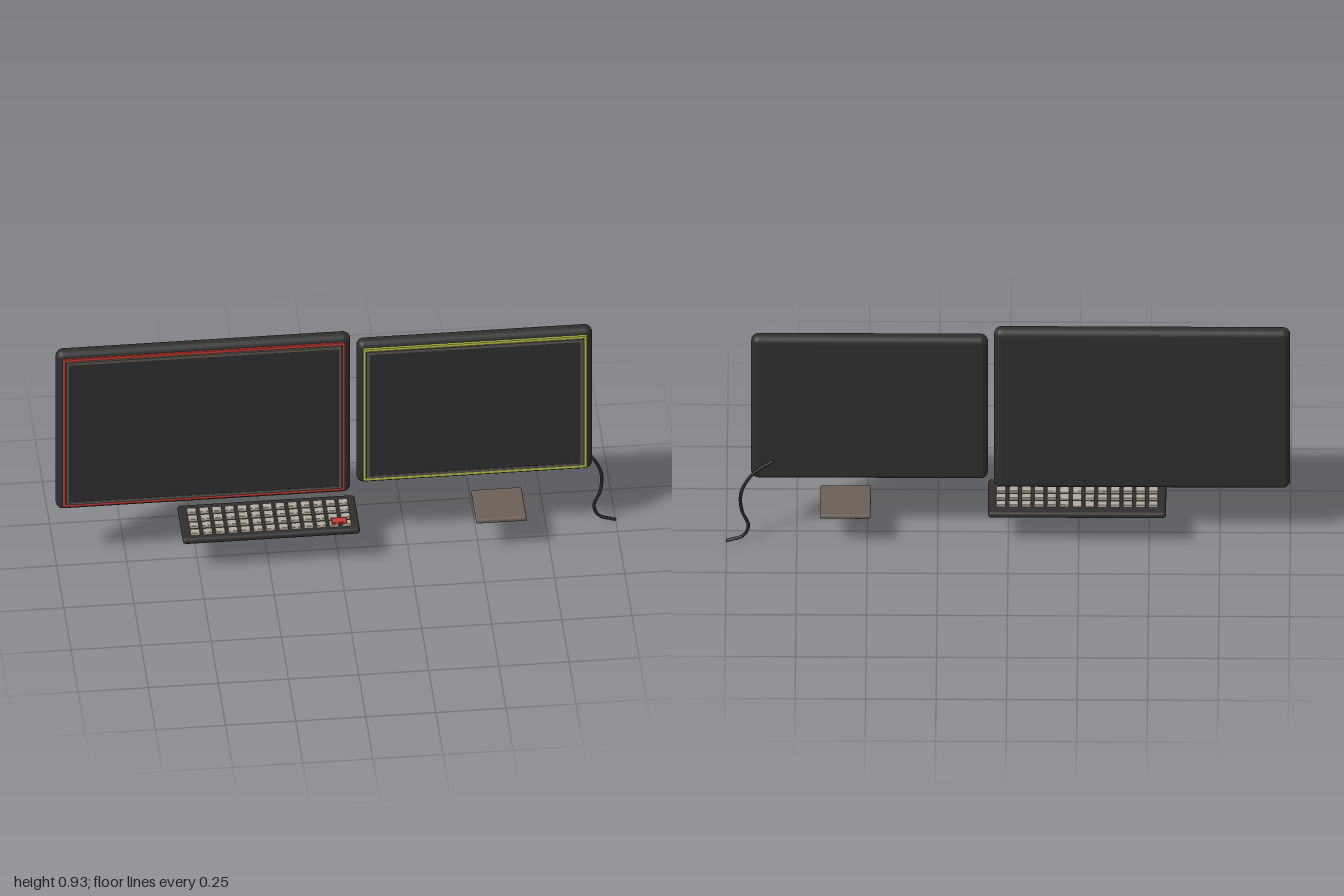
import * as THREE from 'three';
import { RoundedBoxGeometry } from 'three/addons/geometries/RoundedBoxGeometry.js';

const material = (name, color) => {
  const m = new THREE.MeshStandardMaterial({ color });
  m.name = name;
  return m;
};

export function createModel() {
  const mats = {
    casing: material('charcoal casing', 0x2e2e2e),
    screen: material('dark screen', 0x2d2d2d),
    bezel: material('grey bezel', 0x57524d),
    red: material('red trim', 0xc23a30),
    green: material('lime trim', 0xb4bf45),
    board: material('keyboard casing', 0x2f2d2e),
    keys: material('key cream', 0xb0aa9b),
    pad: material('trackpad brown', 0x6b5e55),
    cable: material('cable black', 0x262728),
  };

  const model = new THREE.Group();
  model.name = 'deskSetup';

  const add = (parent, name, geometry, mat, x = 0, y = 0, z = 0) => {
    const mesh = new THREE.Mesh(geometry, mat);
    mesh.name = name;
    mesh.position.set(x, y, z);
    parent.add(mesh);
    return mesh;
  };

  // Flat rectangular ring, extruded from z = 0 forwards
  const ring = (w, h, t, depth) => {
    const rect = (S, a, b) => new S([
      new THREE.Vector2(-a, -b), new THREE.Vector2(a, -b),
      new THREE.Vector2(a, b), new THREE.Vector2(-a, b),
    ]);
    const shape = rect(THREE.Shape, w / 2, h / 2);
    shape.holes.push(rect(THREE.Path, w / 2 - t, h / 2 - t));
    return new THREE.ExtrudeGeometry(shape, { depth, bevelEnabled: false });
  };

  // Monitor: rounded casing, coloured trim, grey bezel and screen
  const addMonitor = (name, x0, x1, y0, y1, trim, trimFront) => {
    const w = x1 - x0, h = y1 - y0;
    const g = new THREE.Group();
    g.name = name;
    g.position.set((x0 + x1) / 2, (y0 + y1) / 2, 0);
    add(g, 'casing', new RoundedBoxGeometry(w, h, 0.055, 6, 0.027), mats.casing, 0, 0, -0.0365);
    add(g, 'trim', ring(w - 0.042, h - 0.042, 0.01, trimFront + 0.015), trim, 0, 0, -0.015);
    add(g, 'bezel', ring(w - 0.066, h - 0.066, 0.011, 0.012), mats.bezel, 0, 0, -0.0105);
    add(g, 'screen', new THREE.BoxGeometry(w - 0.088, h - 0.088, 0.009), mats.screen, 0, 0, -0.0045);
    model.add(g);
  };
  addMonitor('largeMonitor', -1, 0.05, 0.235, 0.93, mats.red, -0.003);
  addMonitor('smallMonitor', 0.072, 0.912, 0.272, 0.896, mats.green, -0.001);

  // Keyboard with four rows of keys and one raised red key
  const keyboard = new THREE.Group();
  keyboard.name = 'keyboard';
  model.add(keyboard);
  add(keyboard, 'keyboardBase', new RoundedBoxGeometry(0.632, 0.025, 0.21, 4, 0.012),
    mats.board, -0.244, 0.149, 0);
  const keyGeometry = new RoundedBoxGeometry(0.034, 0.012, 0.027, 2, 0.003);
  for (let row = 0; row < 4; row++) {
    for (let col = 0; col < 13; col++) {
      add(keyboard, 'key', keyGeometry, mats.keys,
        -0.514 + col * 0.045, 0.166, 0.07 - row * 0.0415);
    }
  }
  add(keyboard, 'redKey', new RoundedBoxGeometry(0.054, 0.01, 0.03, 2, 0.003),
    mats.red, 0, 0.175, 0.067);

  // Trackpad
  add(model, 'trackpad', new RoundedBoxGeometry(0.18, 0.018, 0.184, 3, 0.007),
    mats.pad, 0.578, 0.14, -0.013);

  // Cable hanging from the back of the small monitor
  const path = new THREE.CatmullRomCurve3([
    [0.836, 0.358], [0.905, 0.302], [0.947, 0.22], [0.945, 0.14],
    [0.922, 0.075], [0.94, 0.03], [0.996, 0.008],
  ].map(([x, y]) => new THREE.Vector3(x, y, -0.0655)));
  add(model, 'cable', new THREE.TubeGeometry(path, 60, 0.006, 8), mats.cable);
  for (const t of [0, 1]) {
    const p = path.getPoint(t);
    add(model, 'cableEnd', new THREE.SphereGeometry(0.006, 8, 6), mats.cable, p.x, p.y, p.z);
  }

  return model;
}
